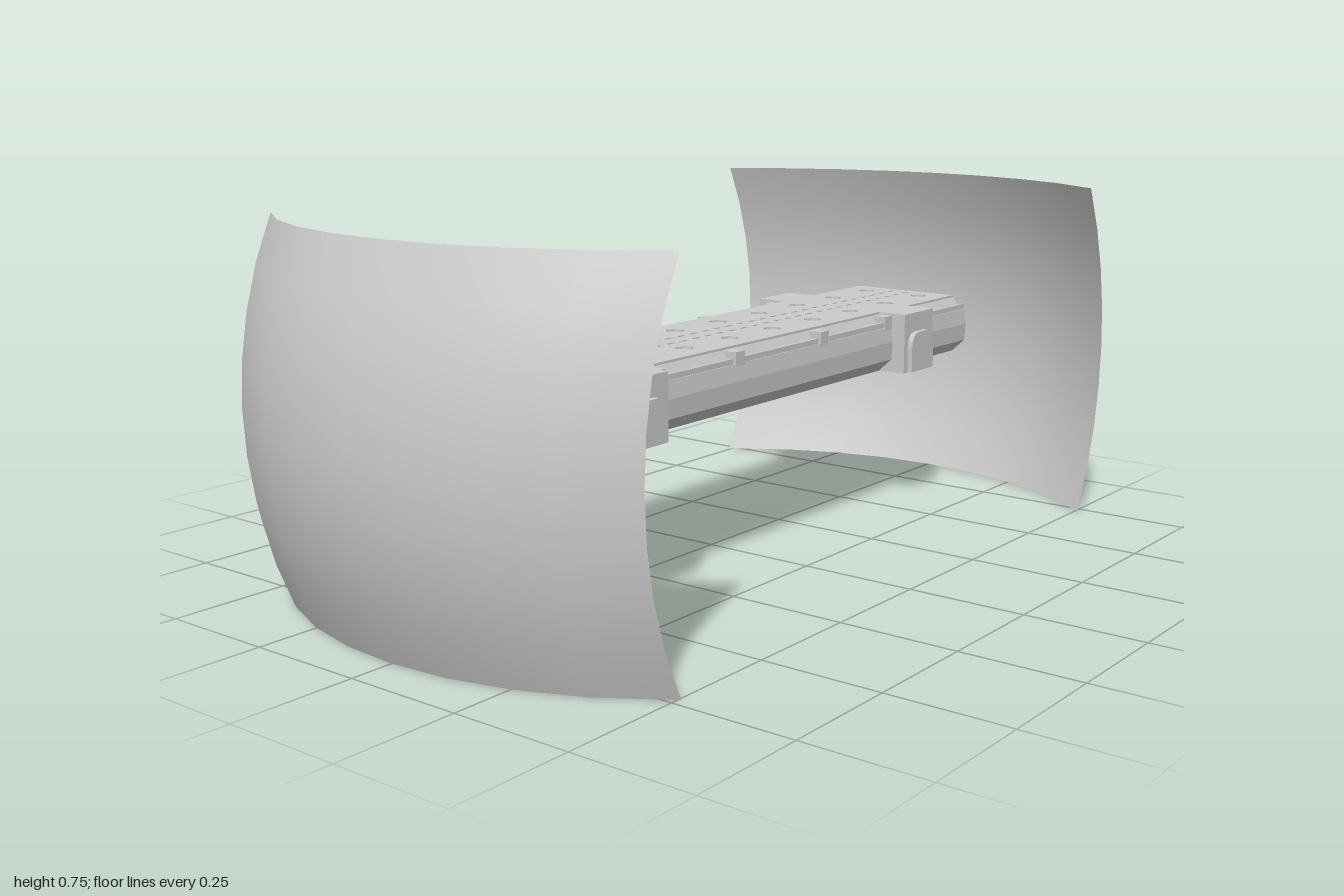
import * as THREE from 'three';

const grey = new THREE.MeshStandardMaterial({ color: 0xcccccc, flatShading: true });
const shellGrey = new THREE.MeshStandardMaterial({ color: 0xcccccc, side: THREE.DoubleSide });

const BACK = -0.78, FRONT = 0.73, LENGTH = FRONT - BACK;
const LUG_Z = [-0.51, 0.45];

function add(parent, name, geometry, material = grey) {
  const mesh = new THREE.Mesh(geometry, material);
  mesh.name = name;
  parent.add(mesh);
  return mesh;
}

function box(parent, name, w, h, d, x, y, z) {
  return add(parent, name, new THREE.BoxGeometry(w, h, d).translate(x, y, z));
}

// Thin rectangular sheet bowed along both axes
function shieldGeometry() {
  const g = new THREE.PlaneGeometry(1.01, 0.745, 8, 8);
  const p = g.attributes.position;
  const sag = (r, t) => r - Math.sqrt(r * r - t * t);
  for (let i = 0; i < p.count; i++) {
    const x = p.getX(i), y = p.getY(i);
    p.setXYZ(i, x, y + 0.3725, 1 - sag(0.8, x) - sag(0.816, y));
  }
  g.computeVertexNormals();
  return g;
}

// Shape from a half outline, mirrored across x = 0
function mirroredShape(half) {
  const left = half.map(([x, y]) => [-x, y]).reverse();
  return new THREE.Shape([...half, ...left].map(([x, y]) => new THREE.Vector2(x, y)));
}

function rectHole(x, y, w, h) {
  return new THREE.Path([
    [x - w / 2, y - h / 2], [x - w / 2, y + h / 2], [x + w / 2, y + h / 2], [x + w / 2, y - h / 2],
  ].map(([a, b]) => new THREE.Vector2(a, b)));
}

// Deck plate with two rows of round sockets and a double line of small slots
function deckGeometry() {
  const w = 0.133;
  const shape = new THREE.Shape([
    new THREE.Vector2(-w, -FRONT), new THREE.Vector2(w, -FRONT),
    new THREE.Vector2(w, -BACK), new THREE.Vector2(-w, -BACK),
  ]);
  for (const s of [-1, 1]) {
    for (let i = 0; i < 10; i++) {
      const hole = new THREE.Path();
      hole.absarc(s * 0.073, 0.72 - i * 0.15, 0.02, 0, Math.PI * 2, true);
      shape.holes.push(hole);
    }
    for (let i = 0; i < 36; i++) {
      shape.holes.push(rectHole(s * 0.02, 0.745 - i * 0.041, 0.008, 0.024));
    }
  }
  return new THREE.ExtrudeGeometry(shape, { depth: 0.005, bevelEnabled: false, curveSegments: 4 })
    .rotateX(-Math.PI / 2).translate(0, 0.46, 0);
}

// Arched panel lying in the side plane, facing +x
function archGeometry() {
  const s = new THREE.Shape();
  s.moveTo(-0.046, 0.333);
  s.lineTo(0.046, 0.333);
  s.lineTo(0.046, 0.39);
  s.quadraticCurveTo(0.044, 0.42, 0.02, 0.422);
  s.lineTo(-0.02, 0.422);
  s.quadraticCurveTo(-0.044, 0.42, -0.046, 0.39);
  return new THREE.ExtrudeGeometry(s, { depth: 0.012, bevelEnabled: false, curveSegments: 4 })
    .rotateY(Math.PI / 2);
}

export function createModel() {
  const model = new THREE.Group();
  model.name = 'shieldedBeam';

  // Curved shields at both ends
  add(model, 'frontShield', shieldGeometry(), shellGrey);
  add(model, 'backShield', shieldGeometry().rotateY(Math.PI), shellGrey);

  // Central beam with chamfered sides
  const beam = new THREE.Group();
  beam.name = 'beam';
  model.add(beam);
  const profile = mirroredShape([
    [0.135, 0.33], [0.168, 0.36], [0.17, 0.4], [0.165, 0.435],
    [0.147, 0.441], [0.135, 0.46],
  ]);
  add(beam, 'beamBody', new THREE.ExtrudeGeometry(profile, { depth: LENGTH, bevelEnabled: false })
    .translate(0, 0, BACK));
  add(beam, 'deckPlate', deckGeometry());

  for (const s of [-1, 1]) {
    // Clips and edge rails along the upper corners
    for (const z of [-0.435, -0.18, 0.12, 0.37, 0.535, -0.59]) {
      box(beam, 'railClip', 0.036, 0.03, 0.03, s * 0.149, 0.445, z);
    }
    for (const [a, b] of [[-0.78, -0.6], [-0.42, -0.2], [-0.16, 0.1], [0.14, 0.35], [0.55, 0.73]]) {
      box(beam, 'edgeRail', 0.008, 0.012, b - a, s * 0.16, 0.441, (a + b) / 2);
    }
    // Side lugs with arched panels
    for (const z of LUG_Z) {
      box(beam, 'lug', 0.1, 0.134, 0.122, s * 0.151, 0.398, z);
      const panel = add(beam, 'lugPanel', archGeometry());
      panel.position.set(s * 0.201, 0, z);
      if (s < 0) panel.rotation.y = Math.PI;
    }
  }
  return model;
}
